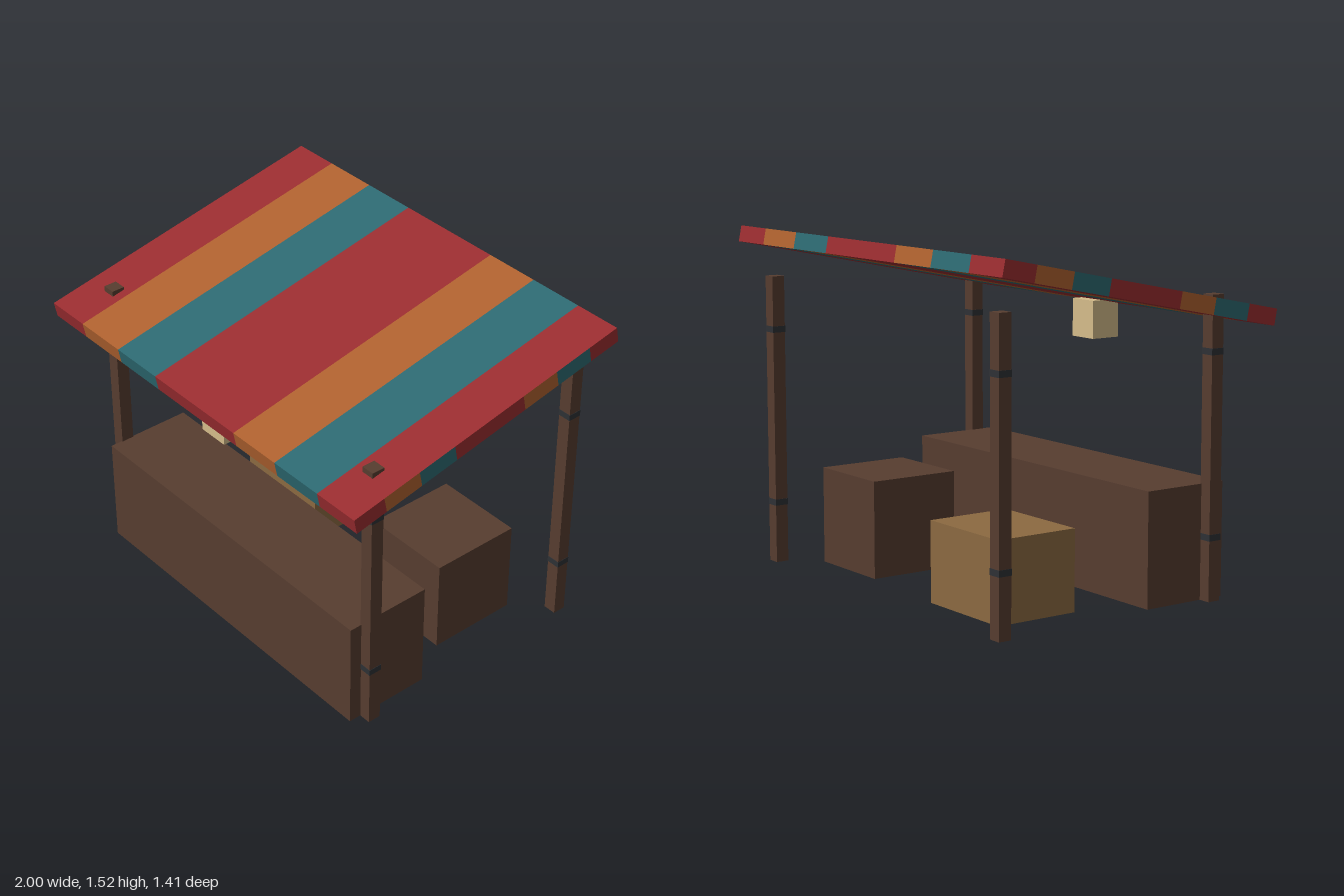
import * as THREE from 'three';

const mat = (name, color) => {
  const m = new THREE.MeshStandardMaterial({ color });
  m.name = name;
  return m;
};

export function createModel() {
  const red = mat('canopy red', 0x9b2d30);
  const orange = mat('canopy orange', 0xb0622f);
  const teal = mat('canopy teal', 0x2d6a72);
  const wood = mat('dark wood', 0x573d30);
  const crateWood = mat('light wood', 0x8c6a41);
  const iron = mat('iron', 0x2e3135);
  const cream = mat('lantern cream', 0xd6bd8b);

  const model = new THREE.Group();
  model.name = 'marketStall';

  // Box given by its extents along each axis
  const box = (name, material, [x0, x1], [y0, y1], [z0, z1]) => {
    const mesh = new THREE.Mesh(new THREE.BoxGeometry(x1 - x0, y1 - y0, z1 - z0), material);
    mesh.position.set((x0 + x1) / 2, (y0 + y1) / 2, (z0 + z1) / 2);
    mesh.name = name;
    model.add(mesh);
  };

  // Counter, crates and hanging lantern
  box('counter', wood, [-0.83, 0.83], [0, 0.5], [0.165, 0.57]);
  box('darkCrate', wood, [0.29, 0.71], [0, 0.435], [-0.455, -0.03]);
  box('lightCrate', crateWood, [-0.685, -0.205], [0, 0.355], [-0.495, -0.105]);
  box('lantern', cream, [-0.073, 0.073], [1.03, 1.2], [0.47, 0.612]);

  // Four posts, each with two iron bands
  for (const x of [-0.855, 0.855]) {
    for (const z of [0.483, -0.607]) {
      const around = (c, r) => [c - r, c + r];
      box('post', wood, around(x, 0.03), [0, 1.3], around(z, 0.03));
      for (const y of [0.275, 1.062]) {
        box('postBand', iron, around(x, 0.0315), around(y, 0.014), around(z, 0.0315));
      }
    }
  }

  // Tilted canopy slab: every face carries the same run of stripes from its left to its right
  const W = 2, L = 1.424, T = 0.072;
  const stops = [0, 0.1085, 0.238, 0.369, 0.63, 0.76, 0.89, 1];
  const stripes = [red, orange, teal, red, orange, teal, red];
  const faces = [
    // name, width, height, distance from centre, rotation x, rotation y
    ['canopyFront', W, T, L / 2, 0, 0],
    ['canopyLeft', L, T, W / 2, 0, Math.PI / 2],
    ['canopyBack', W, T, L / 2, 0, Math.PI],
    ['canopyRight', L, T, W / 2, 0, -Math.PI / 2],
    ['canopyTop', W, L, T / 2, -Math.PI / 2, 0],
    ['canopyUnderside', W, L, T / 2, Math.PI / 2, 0],
  ];
  const canopy = new THREE.Group();
  canopy.name = 'canopy';
  for (const [name, w, h, d, rx, ry] of faces) {
    const face = new THREE.Group();
    face.name = name;
    face.rotation.set(rx, ry, 0);
    stripes.forEach((material, i) => {
      const a = stops[i], b = stops[i + 1];
      const stripe = new THREE.Mesh(new THREE.PlaneGeometry((b - a) * w, h), material);
      stripe.position.set(((a + b) / 2 - 0.5) * w, 0, d);
      stripe.name = 'stripe';
      face.add(stripe);
    });
    canopy.add(face);
  }
  canopy.position.y = 1.3425;
  canopy.rotation.x = 0.2;
  model.add(canopy);

  return model;
}
